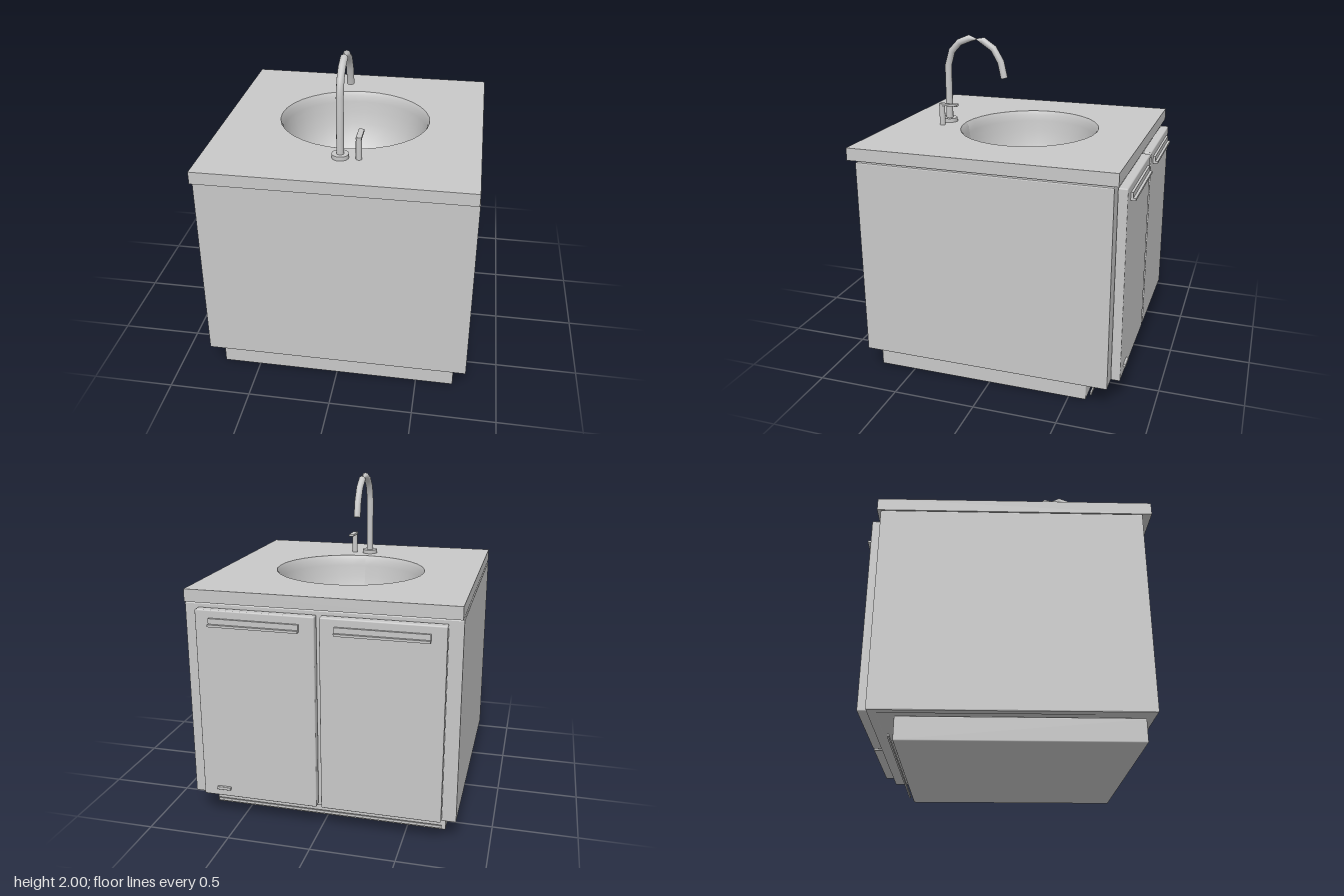
import * as THREE from 'three';
import { RoundedBoxGeometry } from 'three/addons/geometries/RoundedBoxGeometry.js';

export function createModel() {
  const model = new THREE.Group();
  model.name = 'sinkCabinet';
  const grey = new THREE.MeshStandardMaterial({ color: 0xc8c8c8, side: THREE.DoubleSide });
  grey.name = 'lightGrey';

  const add = (name, geometry, x = 0, y = 0, z = 0) => {
    const mesh = new THREE.Mesh(geometry, grey);
    mesh.name = name;
    mesh.position.set(x, y, z);
    model.add(mesh);
    return mesh;
  };
  // Box given by its limits, with optional rounded edges
  const box = (name, [x0, x1], [y0, y1], [z0, z1], radius = 0) => {
    const size = [x1 - x0, y1 - y0, z1 - z0];
    const geometry = radius ? new RoundedBoxGeometry(...size, 2, radius) : new THREE.BoxGeometry(...size);
    return add(name, geometry, (x0 + x1) / 2, (y0 + y1) / 2, (z0 + z1) / 2);
  };
  const rect = (Type, x, z0, z1) => new Type([
    new THREE.Vector2(-x, -z1), new THREE.Vector2(x, -z1),
    new THREE.Vector2(x, -z0), new THREE.Vector2(-x, -z0),
  ]);

  // Plinth and the thin strip behind it
  box('plinth', [-0.73, 0.73], [0, 0.135], [-0.605, 0.725], 0.008);
  box('plinthStrip', [-0.71, 0.71], [0.027, 0.043], [-0.636, -0.626]);

  // Hollow cabinet body with softened edges, open at the top for the basin
  const bevel = 0.008;
  const walls = rect(THREE.Shape, 0.805 - bevel, -0.745 + bevel, 0.775 - bevel);
  walls.holes.push(rect(THREE.Path, 0.76, -0.7, 0.73));
  const wallGeometry = new THREE.ExtrudeGeometry(walls, {
    depth: 1.215 - 2 * bevel, bevelSize: bevel, bevelThickness: bevel, bevelSegments: 2,
  }).rotateX(-Math.PI / 2);
  add('cabinetWalls', wallGeometry, 0, 0.14 + bevel, 0);
  box('cabinetFloor', [-0.77, 0.77], [0.142, 0.17], [-0.71, 0.74]);

  // Doors with hooked pulls
  const pullProfile = new THREE.Shape([
    [0, 0], [0.03, 0], [0.03, 0.014], [0.014, 0.014], [0.014, 0.046], [0, 0.046],
  ].map(([x, y]) => new THREE.Vector2(x, y)));
  for (const side of [-1, 1]) {
    const label = side > 0 ? 'left' : 'right';
    const door = box(label + 'Door', [-0.355, 0.355], [0.16, 1.33], [-0.803, -0.748], 0.008);
    door.position.x = side * 0.369;
    const pull = new THREE.ExtrudeGeometry(pullProfile, { depth: 0.535, bevelEnabled: false });
    pull.translate(0, 0, -0.2675).rotateY(Math.PI / 2);
    add(label + 'Pull', pull, side * 0.37, 1.237, -0.803);
  }
  // the extruded profile points to -z
  box('doorTag', [0.55, 0.635], [0.205, 0.225], [-0.818, -0.8], 0.004);

  // Countertop with an oval opening
  const top = rect(THREE.Shape, 0.8, -0.768, 0.833);
  const opening = new THREE.Path();
  opening.absellipse(0, 0.025, 0.47, 0.435, 0, Math.PI * 2, true);
  top.holes.push(opening);
  add('countertop', new THREE.ExtrudeGeometry(top, { depth: 0.075, bevelEnabled: false, curveSegments: 16 })
    .rotateX(-Math.PI / 2), 0, 1.36, 0);

  // Basin: lathed bowl, becoming rounder towards the rim
  const bowlProfile = [
    [0.32, 1.04], [0.365, 1.075], [0.405, 1.14], [0.43, 1.22], [0.445, 1.3], [0.453, 1.37], [0.458, 1.41], [0.47, 1.435],
  ];
  const bowl = new THREE.LatheGeometry(bowlProfile.map(([r, y]) => new THREE.Vector2(r, y)), 32);
  const pos = bowl.attributes.position;
  for (let i = 0; i < pos.count; i++) {
    const t = (Math.hypot(pos.getX(i), pos.getZ(i)) - 0.32) / 0.15;
    pos.setZ(i, pos.getZ(i) * (0.81 + 0.1155 * t));
  }
  bowl.computeVertexNormals();
  add('basinBowl', bowl, 0, 0, -0.025);
  const disc = new THREE.CircleGeometry(0.32, 32).rotateX(-Math.PI / 2);
  add('basinFloor', disc.scale(1, 1, 0.81), 0, 1.04, -0.025);
  add('drain', new THREE.CylinderGeometry(0.057, 0.057, 0.006, 32), 0, 1.042, -0.03);

  // Tap: foot and bent pipe built from rings [z, y, radius]
  add('tapFoot', new THREE.CylinderGeometry(0.05, 0.05, 0.026, 24), 0, 1.447, 0.525);
  const R = 0.022;
  const path = [
    [0.525, 1.44, R], [0.525, 1.8, R], [0.497, 1.895, R], [0.445, 1.95, R], [0.375, 1.978, R],
    [0.328, 1.974, 0.004], [0.285, 1.967, R], [0.215, 1.92, R], [0.168, 1.84, R], [0.145, 1.738, R],
  ];
  const sides = 12, points = [], index = [];
  path.forEach(([z, y, r], i) => {
    const a = path[Math.max(i - 1, 0)], b = path[Math.min(i + 1, path.length - 1)];
    const length = Math.hypot(b[0] - a[0], b[1] - a[1]);
    const nz = (b[1] - a[1]) / length, ny = -(b[0] - a[0]) / length;
    for (let j = 0; j < sides; j++) {
      const angle = (j / sides) * Math.PI * 2, c = Math.cos(angle) * r, s = Math.sin(angle) * r;
      points.push(c, y + s * ny, z + s * nz);
      if (i === 0) continue;
      const p = (i - 1) * sides + j, q = (i - 1) * sides + (j + 1) % sides;
      index.push(p, p + sides, q, q, p + sides, q + sides);
    }
  });
  const pipe = new THREE.BufferGeometry();
  pipe.setAttribute('position', new THREE.Float32BufferAttribute(points, 3));
  pipe.setIndex(index);
  pipe.computeVertexNormals();
  add('tapPipe', pipe);
  const tip = add('tapOutlet', new THREE.CircleGeometry(R, sides), 0, 1.738, 0.145);
  tip.rotation.x = Math.PI / 2 + 0.22;

  // Lever control beside the tap
  add('leverPost', new THREE.CylinderGeometry(0.018, 0.018, 0.13, 16), 0.108, 1.5, 0.53);
  box('lever', [0.091, 0.125], [1.56, 1.575], [0.422, 0.545], 0.003);

  return model;
}
